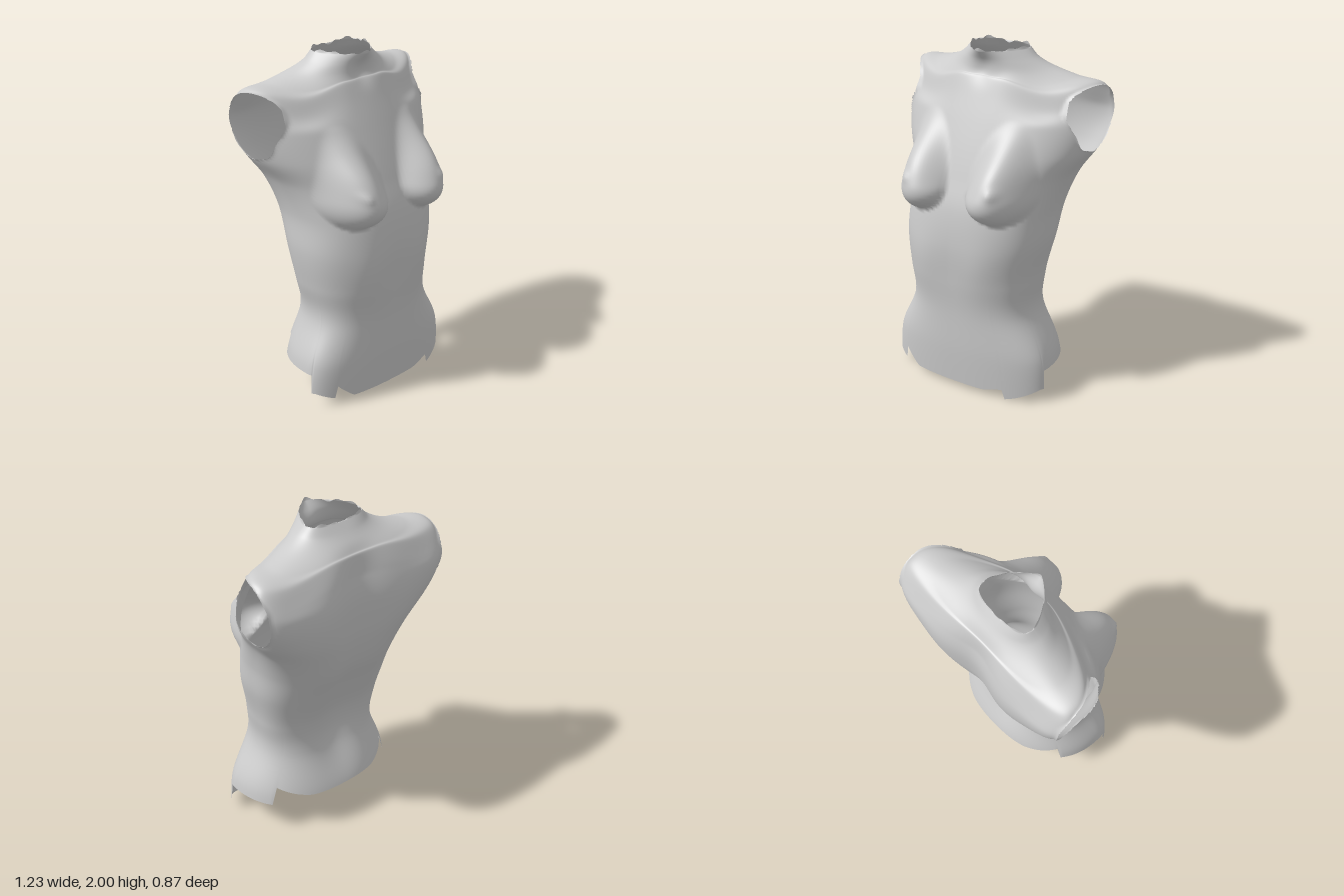
import * as THREE from 'three';

// Cross-sections of the body: height, half width, z of widest point,
// front z, back z, squareness of the front half and of the back half
const SECTIONS = [
  [0.00, 0.53, 0.13, 0.325, -0.33, 2.3, 2.3],
  [0.25, 0.505, 0.13, 0.34, -0.29, 2.3, 2.3],
  [0.50, 0.395, 0.08, 0.345, -0.205, 2.5, 2.5],
  [0.70, 0.41, 0.05, 0.36, -0.20, 2.5, 2.5],
  [0.92, 0.443, 0.04, 0.37, -0.275, 2.4, 2.5],
  [1.12, 0.45, 0.00, 0.345, -0.36, 2.4, 2.6],
  [1.30, 0.495, -0.08, 0.285, -0.405, 2.3, 3.0],
  [1.45, 0.58, -0.14, 0.23, -0.42, 2.1, 4.0],
  [1.60, 0.615, -0.18, 0.17, -0.42, 2.0, 6.0],
  [1.73, 0.62, -0.22, 0.115, -0.395, 1.9, 6.0],
  [1.825, 0.59, -0.24, 0.075, -0.355, 1.9, 4.0],
  [1.845, 0.45, -0.20, 0.062, -0.335, 1.9, 2.8],
  [1.88, 0.325, -0.16, 0.058, -0.305, 1.8, 2.2],
  [1.93, 0.235, -0.13, 0.065, -0.26, 1.7, 2.2],
  [1.985, 0.178, -0.13, 0.095, -0.215, 1.4, 3.0],
];
const AROUND = 192, UP = 150;
const { smoothstep, lerp } = THREE.MathUtils;

// Smooth interpolation between the cross-sections
function sectionAt(u) {
  const last = SECTIONS.length - 1;
  const i = Math.min(Math.floor(u), last - 1), f = u - i;
  const row = (k) => SECTIONS[Math.max(0, Math.min(last, k))];
  return row(i).map((p1, k) => {
    const p0 = row(i - 1)[k], p2 = row(i + 1)[k], p3 = row(i + 2)[k];
    const m1 = (p2 - p0) / 2, m2 = (p3 - p1) / 2;
    return p1 + f * (m1 + f * (3 * (p2 - p1) - 2 * m1 - m2 + f * (2 * (p1 - p2) + m1 + m2)));
  });
}

// Torn lower rim: low in front with one spike, stepped up at the sides and back
function rimHeight(c, s) {
  if (s > 0.22) {
    if (c > 0.56) return lerp(0, 0.1, Math.min(1, (c - 0.56) / 0.38));
    if (c < -0.74) return lerp(0.06, 0.1, Math.min(1, (-0.74 - c) / 0.2));
    return c < -0.54 ? lerp(0.05, 0.14, (-0.54 - c) / 0.2) : 0.05 + 0.03 * smoothstep(c, 0.3, 0.56);
  }
  return s > -0.6 ? 0.2 : lerp(0.31, 0.25, Math.min(1, (-0.6 - s) / 0.3));
}

const gauss = (d, width) => Math.exp(-((d / width) ** 2));

// Added depth on the front: breasts, nipples, collar notch, soft belly folds
function frontRelief(x, y) {
  const ax = Math.abs(x), dx = ax - 0.27, dy = y - 1.25;
  const r2 = (dx / (dx > 0 ? 0.165 : 0.2)) ** 2 + (dy / (dy > 0 ? 0.4 : 0.165)) ** 2;
  const power = lerp(0.75, 2, smoothstep(dy, -0.08, 0.25));
  let d = r2 < 1 ? 0.165 * (1 - r2) ** power : 0;
  d += 0.016 * gauss(Math.hypot(ax - 0.29, y - 1.29), 0.03);
  d -= 0.02 * gauss(x, 0.06) * gauss(y - 1.88, 0.07);
  return d + 0.012 * gauss(ax - 0.2, 0.12) * gauss(y - 0.78, 0.18);
}

// Spine groove and shoulder blades on the back
function backRelief(x, y) {
  const span = smoothstep(y, 0.2, 0.6) * (1 - smoothstep(y, 1.7, 1.9));
  return 0.04 * span * gauss(x, 0.14) - 0.01 * gauss(Math.abs(x) - 0.27, 0.13) * gauss(y - 1.5, 0.2);
}

function torsoGeometry() {
  const pos = [], index = [], cut = [];
  for (let j = 0; j <= UP; j++) {
    for (let i = 0; i < AROUND; i++) {
      const t = (i / AROUND) * Math.PI * 2, c = Math.cos(t), s = Math.sin(t);
      // The torn rim only shifts the lowest rows
      const v = j / UP;
      const u = (SECTIONS.length - 1) * v + (rimHeight(c, s) / 0.25) * (1 - v) ** 8;
      const [h, w, zc, front, back, nf, nb] = sectionAt(u);
      const n = s > 0 ? nf : nb;
      const r = (Math.abs(c) ** n + Math.abs(s) ** n) ** (-1 / n);
      let x = w * c * r, y = h;
      let z = zc + s * r * (s > 0 ? front - zc : zc - back);
      z += s > 0 ? frontRelief(x, y) * smoothstep(s, 0, 0.4) : backRelief(x, y) * Math.min(1, -s * 3);

      // Shoulders round off towards front and back
      y -= 2 * (z + 0.2) ** 2 * smoothstep(Math.abs(x), 0.12, 0.5) * smoothstep(h, 1.6, 1.82);

      // Waist leans slightly to one side
      x -= 0.022 * gauss(y - 0.74, 0.26);

      // Ragged neck rim
      if (j === UP) y += 0.009 * Math.sin(5 * t) + 0.006 * Math.sin(13 * t);

      // Armholes: drop the inside, snap nearby points to the rim
      const dz = z + 0.19, dy = y - 1.63, a = Math.atan2(dy, dz);
      const rag = 1 + 0.04 * Math.sin(7 * a + 1) * Math.max(0, Math.cos(a + 0.6));
      const e = Math.hypot(dz / 0.185, dy / 0.19) / rag;
      const side = Math.abs(x) > 0.35;
      cut.push(side && e < 0.9);
      if (side && e >= 0.9 && e < 1) {
        z = -0.19 + dz / e;
        y = 1.63 + dy / e;
      }
      pos.push(x, y, z);
    }
  }
  for (let j = 0; j < UP; j++) {
    for (let i = 0; i < AROUND; i++) {
      const a = j * AROUND + i, b = j * AROUND + ((i + 1) % AROUND);
      const au = a + AROUND, bu = b + AROUND;
      for (const tri of [[a, au, bu], [a, bu, b]]) {
        if (!tri.some((k) => cut[k])) index.push(...tri);
      }
    }
  }
  const geo = new THREE.BufferGeometry();
  geo.setAttribute('position', new THREE.Float32BufferAttribute(pos, 3));
  geo.setIndex(index);
  geo.computeVertexNormals();
  return geo;
}

export function createModel() {
  const group = new THREE.Group();
  group.name = 'torsoModel';
  const material = new THREE.MeshStandardMaterial({ color: 0xcccccc, side: THREE.DoubleSide });
  const torso = new THREE.Mesh(torsoGeometry(), material);
  torso.name = 'torsoShell';
  group.add(torso);
  return group;
}
